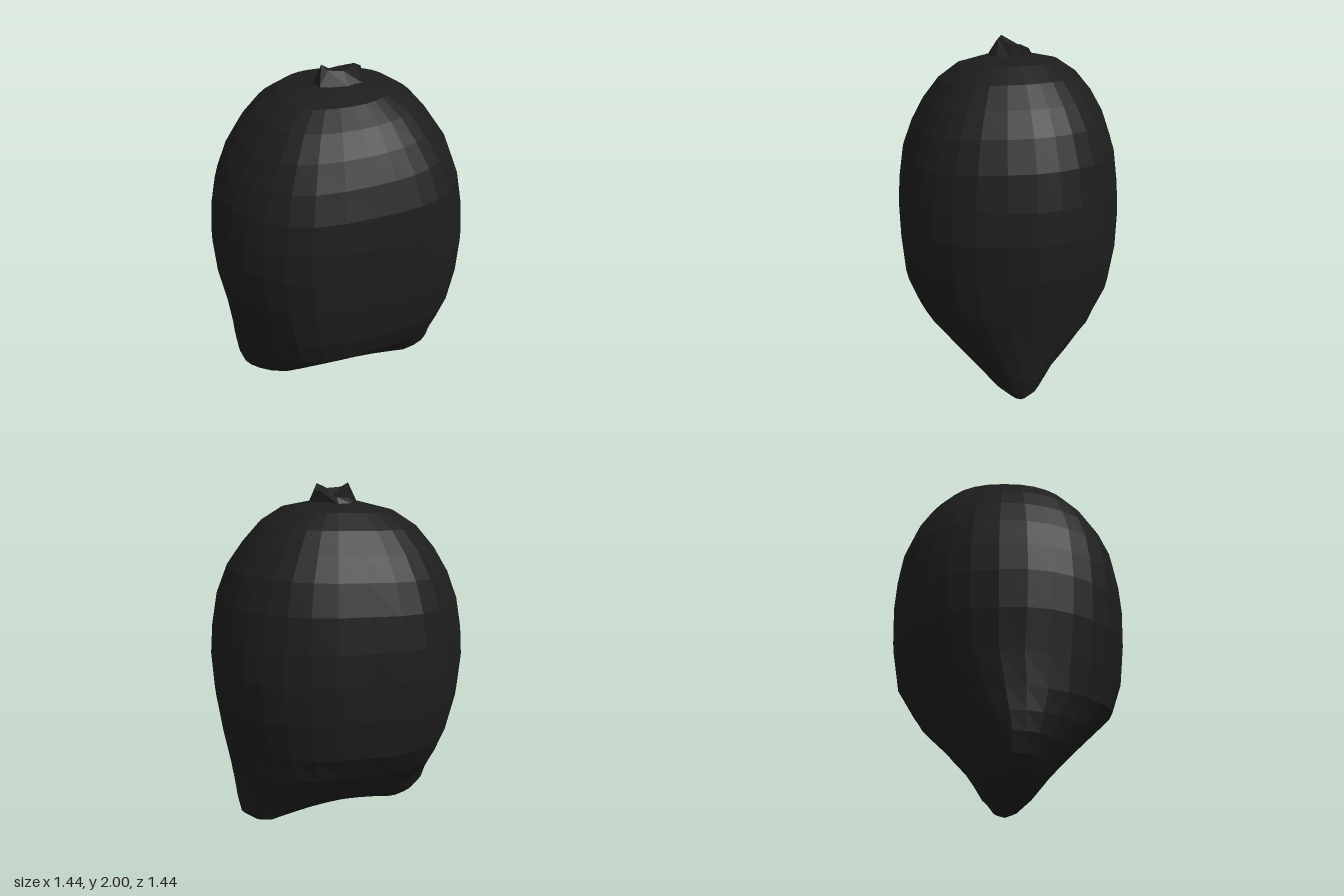
import * as THREE from 'three';

const { clamp, lerp } = THREE.MathUtils;

// Skin over rings of [x, y, z] points listed top to bottom, clockwise from above, closed by two centre points
function loft(rings, top, bottom) {
  const n = rings[0].length, m = rings.length;
  const points = [...rings.flat(), top, bottom];
  const iTop = n * m, iBottom = iTop + 1, index = [];
  for (let j = 0; j < n; j++) {
    const k = (j + 1) % n;
    index.push(iTop, k, j);
    for (let i = 0; i < m - 1; i++) {
      const a = i * n + j, b = i * n + k;
      index.push(a, b, a + n, b, b + n, a + n);
    }
    index.push((m - 1) * n + j, (m - 1) * n + k, iBottom);
  }
  const geo = new THREE.BufferGeometry();
  geo.setAttribute('position', new THREE.Float32BufferAttribute(points.flat(), 3));
  geo.setIndex(index);
  geo.computeVertexNormals();
  return geo;
}

// Lumpy body: broad along the diagonal u, narrower along v, pinched to a two-lobed ridge below
function bodyGeometry() {
  // y, then half sizes towards -u, +u, -v, +v
  const sections = [
    [1.905, 0.13, 0.13, 0.12, 0.12],
    [1.865, 0.31, 0.31, 0.28, 0.28],
    [1.785, 0.44, 0.43, 0.39, 0.39],
    [1.67, 0.54, 0.53, 0.48, 0.48],
    [1.54, 0.62, 0.62, 0.55, 0.55],
    [1.38, 0.68, 0.685, 0.605, 0.605],
    [1.2, 0.712, 0.72, 0.63, 0.63],
    [1.03, 0.725, 0.735, 0.64, 0.64],
    [0.82, 0.71, 0.725, 0.635, 0.635],
    [0.6, 0.67, 0.695, 0.605, 0.615],
    [0.42, 0.645, 0.665, 0.52, 0.56],
    [0.3, 0.635, 0.65, 0.39, 0.45],
    [0.2, 0.62, 0.64, 0.27, 0.35],
    [0.1, 0.59, 0.62, 0.19, 0.24],
    [0.03, 0.53, 0.54, 0.12, 0.14],
    [0, 0.42, 0.44, 0.065, 0.075],
  ];
  const SEGMENTS = 32;
  const rings = sections.map(([y, uNeg, uPos, vNeg, vPos]) => {
    const low = clamp((0.6 - y) / 0.4, 0, 1);
    const high = clamp((y - 1.1) / 0.4, 0, 1);
    const power = 2 / lerp(2.3, 1.95, clamp((0.9 - y) / 0.5, 0, 1));
    return Array.from({ length: SEGMENTS }, (_, j) => {
      const t = (j / SEGMENTS) * Math.PI * 2, c = Math.cos(t), s = Math.sin(t);
      const u = Math.sign(c) * Math.abs(c) ** power * (c < 0 ? uNeg : uPos);
      let v = Math.sign(s) * Math.abs(s) ** power * (s < 0 ? vNeg : vPos);
      // Fuller towards -u, flattened on the +u, +v flank
      if (u < 0 || v > 0) v *= 1 - 0.055 * Math.sin((Math.PI * u) / 0.6);
      v -= (u > 0 ? 0.14 : 0.1) * u * low; // skewed lobes
      const x = (u + v) * Math.SQRT1_2, z = (v - u) * Math.SQRT1_2;
      const saddle = 0.066 * low * Math.max(0, 1 - ((u - 0.05) / 0.4) ** 2);
      const tilt = (z > 0 ? 0.07 : 0.05) * z * high;
      return [x, y + saddle - tilt, z];
    });
  });
  return loft(rings, [0, 1.91, 0], [0.03, 0.07, -0.03]);
}

// Jagged stub of stalk with an uneven broken rim
function stalkGeometry() {
  const outline = [[-0.13, -0.05], [-0.08, -0.12], [0.04, -0.13], [0.1, -0.13],
    [0.145, -0.06], [0.12, 0.03], [0.01, 0.135], [-0.07, 0.1]];
  const rim = [[-0.1, 1.93, -0.04], [-0.06, 1.94, -0.11], [0.03, 1.97, -0.128], [0.08, 1.97, -0.12],
    [0.105, 2, -0.04], [0.07, 1.97, 0.01], [0.01, 1.975, 0.07], [-0.03, 2, 0.075]];
  const ring = (y, s) => outline.map(([x, z]) => [x * s, y, z * s]);
  return loft([rim, ring(1.9, 1), ring(1.88, 0.95), ring(1.84, 0.75)], [0.02, 1.93, -0.03], [0, 1.84, 0]);
}

export function createModel() {
  const skin = new THREE.MeshStandardMaterial({ color: 0x1d1d1d, flatShading: true });
  skin.name = 'charcoal black';
  const model = new THREE.Group();
  model.name = 'lumpyFruit';
  for (const [name, geo] of [['body', bodyGeometry()], ['stalk', stalkGeometry()]]) {
    const mesh = new THREE.Mesh(geo, skin);
    mesh.name = name;
    model.add(mesh);
  }
  return model;
}
